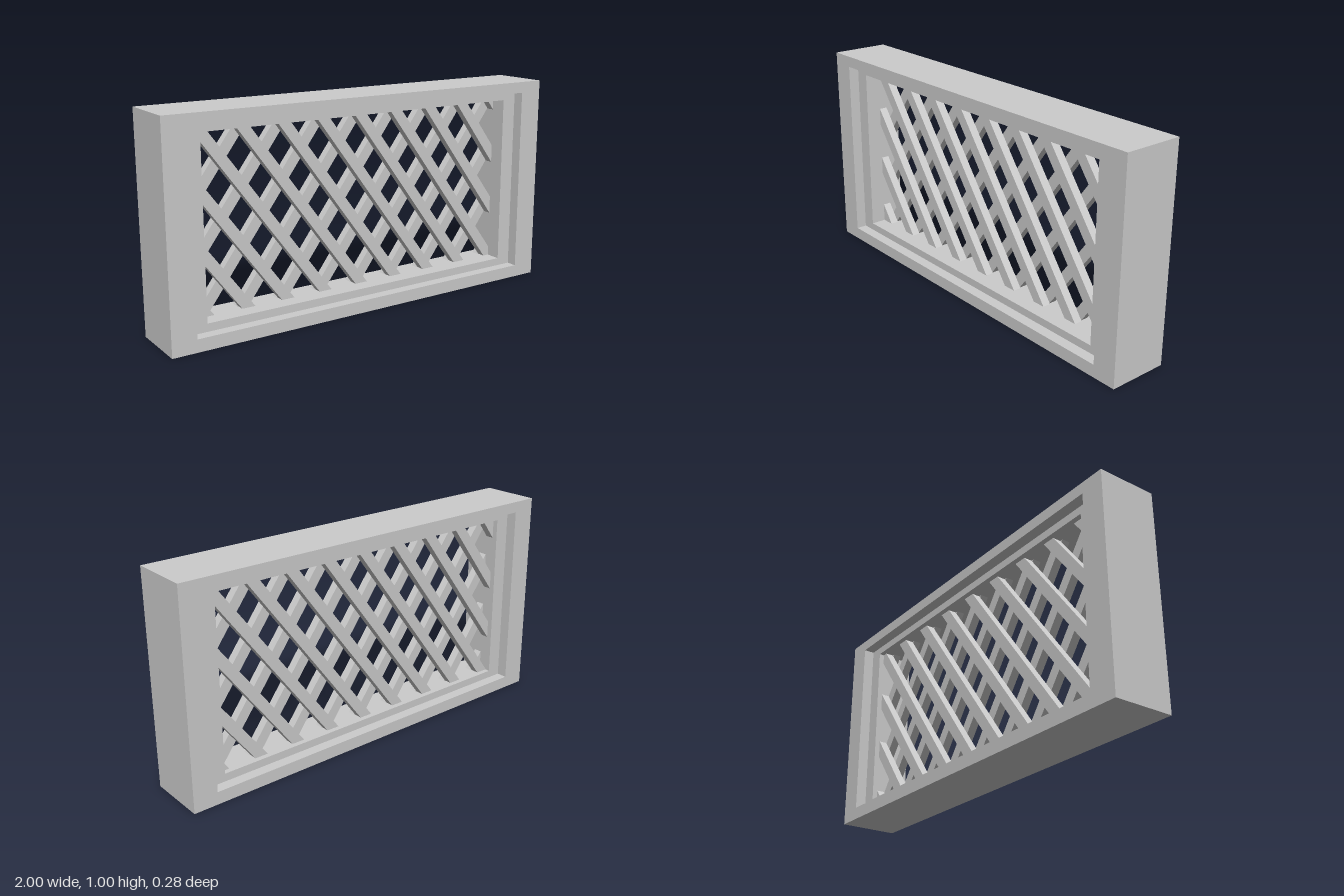
import * as THREE from 'three';

const material = new THREE.MeshStandardMaterial({ color: 0xcccccc, flatShading: true });

// Rectangles as [left, right, bottom, top]
const OUTER = [-1, 1, 0, 1];
const RECESS = [-0.885, 0.885, 0.059, 0.947];
const OPENING = [-0.813, 0.813, 0.096, 0.91];

const corners = ([l, r, b, t]) => [[l, b], [r, b], [r, t], [l, t]].map(([x, y]) => new THREE.Vector2(x, y));

// Flat outline extruded from z0 to z1
function slab(name, points, z0, z1, hole) {
  const shape = new THREE.Shape(points);
  if (hole) shape.holes.push(new THREE.Path(hole));
  const geometry = new THREE.ExtrudeGeometry(shape, { depth: z1 - z0, bevelEnabled: false });
  geometry.translate(0, 0, z0);
  const mesh = new THREE.Mesh(geometry, material);
  mesh.name = name;
  return mesh;
}

// Trim a convex outline to a rectangle, one side at a time
function trim(points, [l, r, b, t]) {
  const sides = [(p) => p.x - l, (p) => r - p.x, (p) => p.y - b, (p) => t - p.y];
  for (const inside of sides) {
    const kept = [];
    points.forEach((p, i) => {
      const q = points[(i + 1) % points.length];
      const dp = inside(p), dq = inside(q);
      if (dp >= 0) kept.push(p);
      if (dp * dq < 0) kept.push(p.clone().lerp(q, dp / (dp - dq)));
    });
    points = kept;
  }
  return points;
}

// One layer of parallel slats; lean +1 runs down to the right, -1 down to the left
function slatLayer(name, lean, z0, z1) {
  const layer = new THREE.Group();
  layer.name = name;
  const pitch = 0.199, slope = 1.34, half = 0.032, offset = 0.015, crossing = 0.9;
  for (let k = -8; k <= 8; k++) {
    const x = (y) => offset + k * pitch + lean * (crossing - y) / slope;
    const outline = [
      new THREE.Vector2(x(0) - half, 0), new THREE.Vector2(x(0) + half, 0),
      new THREE.Vector2(x(1) + half, 1), new THREE.Vector2(x(1) - half, 1),
    ];
    const trimmed = trim(outline, OPENING);
    if (trimmed.length > 2) layer.add(slab('slat', trimmed, z0, z1));
  }
  return layer;
}

export function createModel() {
  const model = new THREE.Group();
  model.name = 'latticePanel';

  // Deep outer frame and the set-back ledge inside it
  model.add(slab('outerFrame', corners(OUTER), -0.1425, 0.1425, corners(RECESS)));
  model.add(slab('innerFrame', corners(RECESS), -0.09, 0.09, corners(OPENING)));

  // Two crossing layers of slats, set towards the back
  model.add(slatLayer('frontSlats', 1, -0.025, 0.015));
  model.add(slatLayer('backSlats', -1, -0.065, -0.025));
  return model;
}
